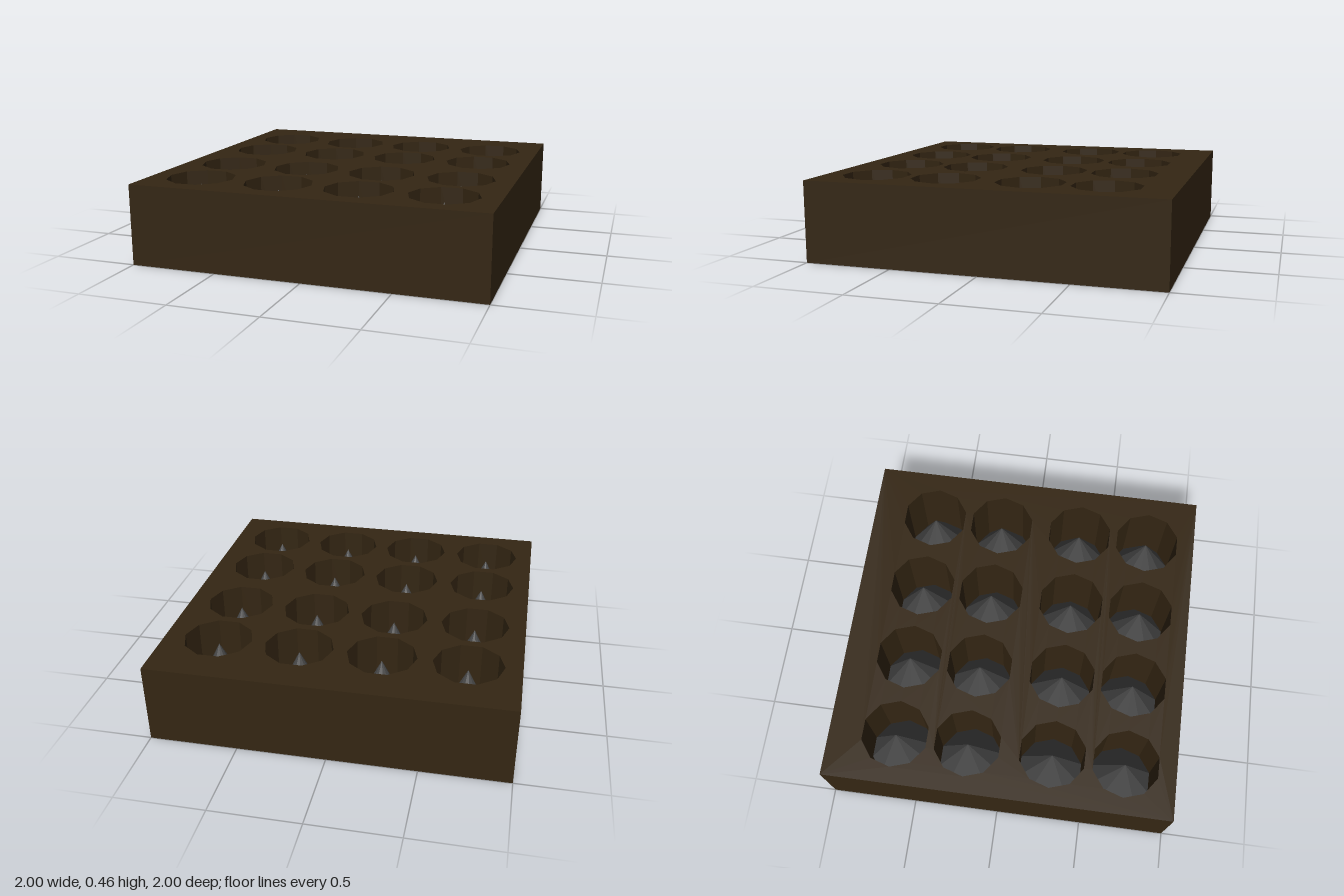
import * as THREE from 'three';

const HEIGHT = 0.46, RADIUS = 0.195, SIDES = 10;
const FLOOR = 0.03, TIP = 0.423;
const XS = [-0.71, -0.237, 0.228, 0.695];
const ZS = [-0.62, -0.2, 0.29, 0.71];

export function createModel() {
  const group = new THREE.Group();
  const wood = new THREE.MeshStandardMaterial({ color: 0x342613, flatShading: true });
  const woodInside = wood.clone();
  woodInside.side = THREE.BackSide;
  const metal = new THREE.MeshStandardMaterial({ color: 0x474747, flatShading: true });

  const add = (name, geometry, material, x = 0, y = 0, z = 0) => {
    const mesh = new THREE.Mesh(geometry, material);
    mesh.name = name;
    mesh.position.set(x, y, z);
    group.add(mesh);
  };

  // Block sides and bottom: a box without its top face
  const block = new THREE.BoxGeometry(2, HEIGHT, 2);
  const index = Array.from(block.index.array);
  index.splice(12, 6);
  block.setIndex(index);
  block.clearGroups();
  add('block', block, wood, 0, HEIGHT / 2, 0);

  // Top plate with a grid of ten-sided holes
  const top = new THREE.Shape([[-1, -1], [1, -1], [1, 1], [-1, 1]].map(([x, y]) => new THREE.Vector2(x, y)));
  for (const x of XS) for (const z of ZS) {
    const ring = [];
    for (let i = 0; i < SIDES; i++) {
      const a = -i / SIDES * Math.PI * 2;
      ring.push(new THREE.Vector2(x + RADIUS * Math.cos(a), -z + RADIUS * Math.sin(a)));
    }
    top.holes.push(new THREE.Path(ring));
  }
  add('topPlate', new THREE.ShapeGeometry(top).rotateX(-Math.PI / 2), wood, 0, HEIGHT, 0);

  // Pit walls, with a spike filling the floor of each pit
  const depth = HEIGHT - FLOOR, spikeHeight = TIP - FLOOR;
  const wall = new THREE.CylinderGeometry(RADIUS, RADIUS, depth, SIDES, 1, true, Math.PI / 2);
  const spike = new THREE.ConeGeometry(RADIUS, spikeHeight, SIDES, 1, true, Math.PI / 2);
  for (const x of XS) for (const z of ZS) {
    add('pitWall', wall, woodInside, x, FLOOR + depth / 2, z);
    add('spike', spike, metal, x, FLOOR + spikeHeight / 2, z);
  }
  return group;
}
